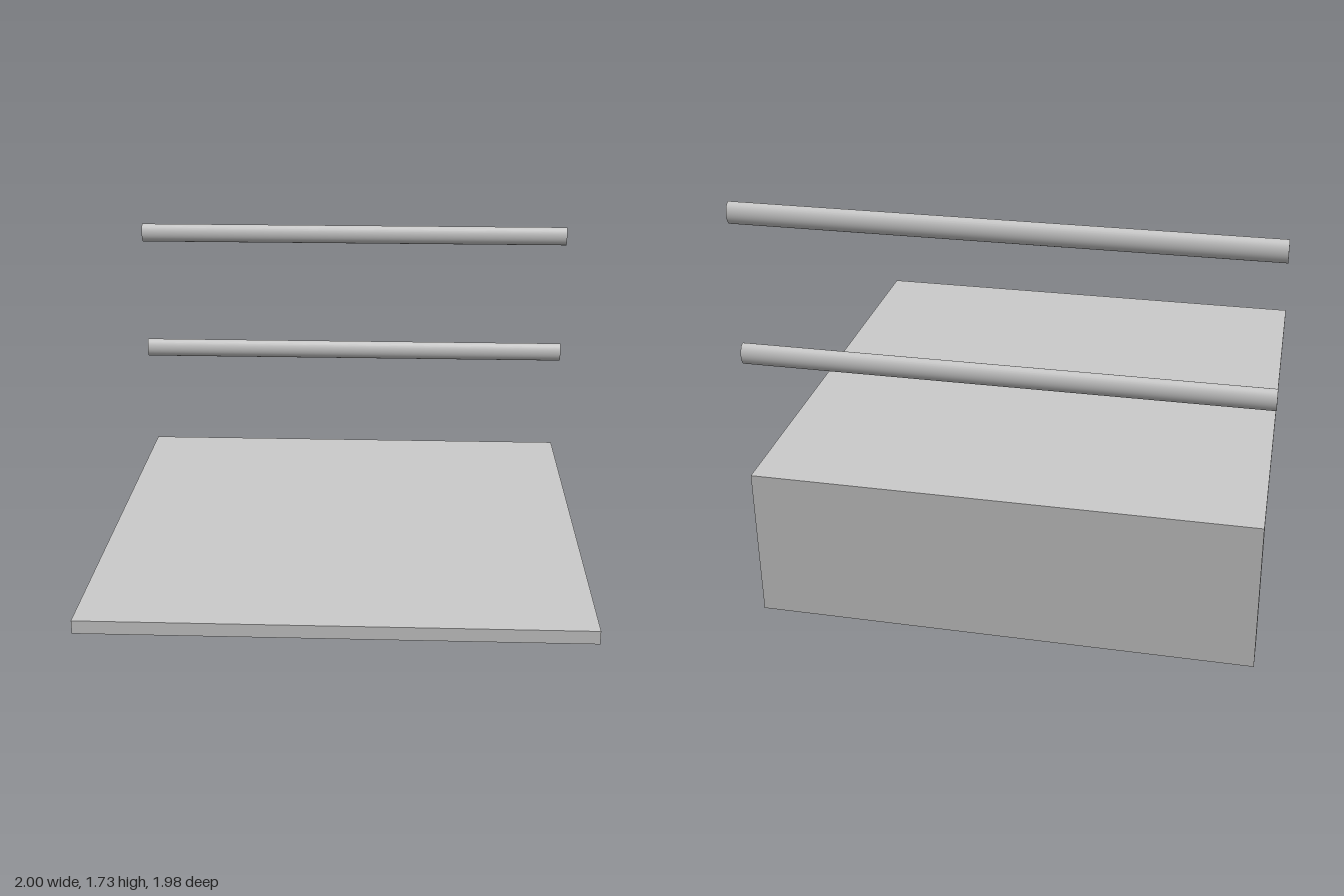
import * as THREE from 'three';

const material = new THREE.MeshStandardMaterial({ color: 0xcccccc });

// Flat top and rear upright as one L-shaped section swept across the width
function makeBench() {
  const width = 1.98;
  const section = new THREE.Shape([
    [-0.99, 0], [-0.85, 0], [-0.85, 0.565], [0.99, 0.571], [0.99, 0.625], [-0.99, 0.625],
  ].map(([z, y]) => new THREE.Vector2(z, y)));
  const geometry = new THREE.ExtrudeGeometry(section, { depth: width, bevelEnabled: false });
  geometry.translate(0, 0, -width / 2).rotateY(-Math.PI / 2);
  const mesh = new THREE.Mesh(geometry, material);
  mesh.name = 'benchTopAndUpright';
  return mesh;
}

// Horizontal rail with an oval section, taller than deep
function makeRail(name, y) {
  const geometry = new THREE.CylinderGeometry(1, 1, 2, 32);
  geometry.rotateZ(Math.PI / 2).scale(1, 0.042, 0.028);
  const mesh = new THREE.Mesh(geometry, material);
  mesh.name = name;
  mesh.position.set(0, y, -0.918);
  return mesh;
}

export function createModel() {
  const model = new THREE.Group();
  model.name = 'benchWithRails';
  model.add(makeBench(), makeRail('lowerRail', 1.119), makeRail('upperRail', 1.684));
  return model;
}
